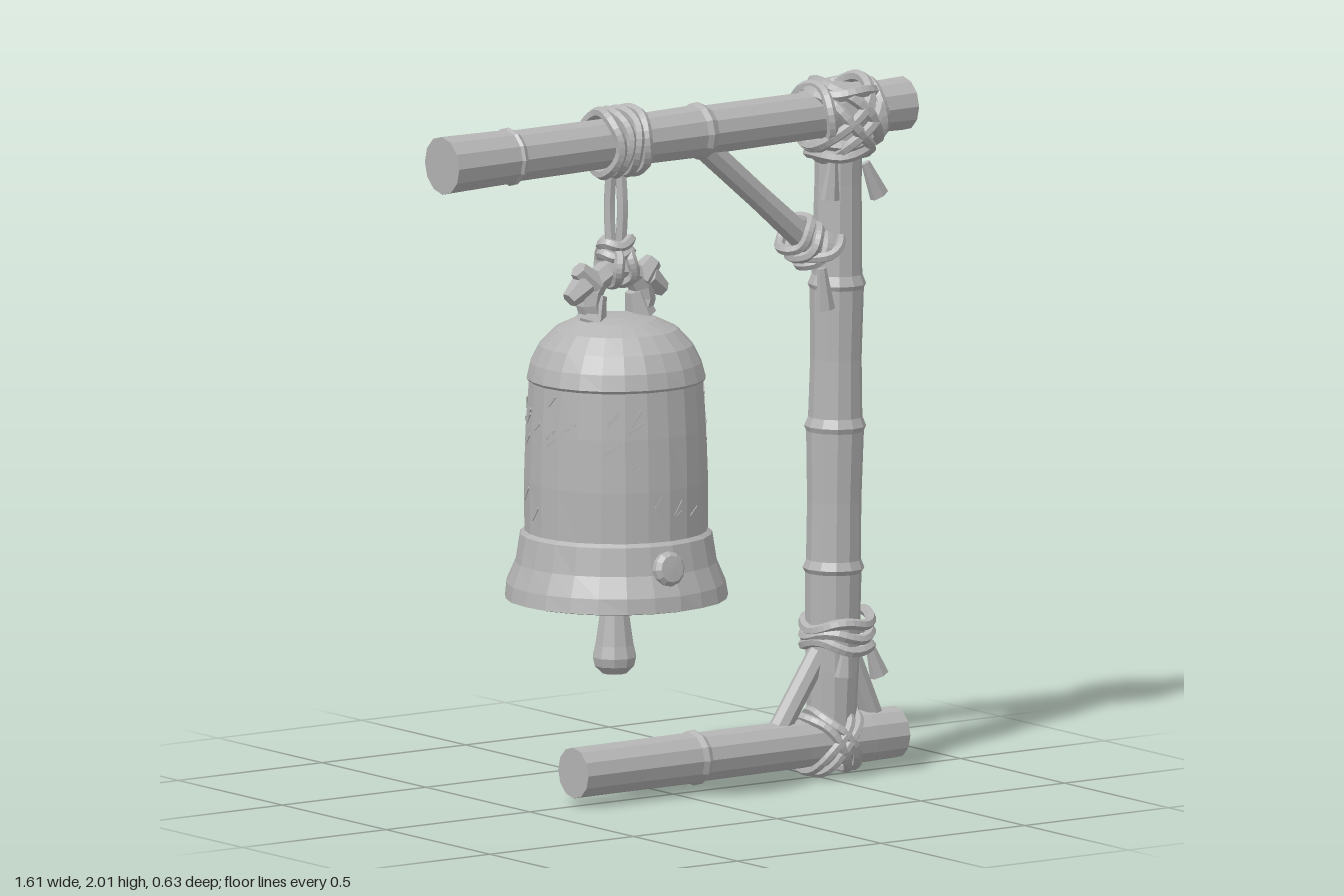
import * as THREE from 'three';
import { mergeGeometries } from 'three/addons/utils/BufferGeometryUtils.js';

const V = (x, y, z = 0) => new THREE.Vector3(x, y, z);
const UP = V(0, 1, 0);

export function createModel() {
  const model = new THREE.Group();
  const grey = new THREE.MeshStandardMaterial({ color: 0xb4b4b4, flatShading: true });
  grey.name = 'plain grey';

  const add = (name, geo) => {
    const mesh = new THREE.Mesh(geo, grey);
    mesh.name = name;
    model.add(mesh);
    return mesh;
  };
  const lathe = (pts, sides) =>
    new THREE.LatheGeometry(pts.map(([r, y]) => new THREE.Vector2(r, y)), sides);

  // Jointed pole from a to b; rings are [fraction of length, radius]
  const pole = (name, a, b, rings, sides = 12) => {
    const len = a.distanceTo(b);
    const pts = rings.map(([t, r]) => [r, t * len]);
    const mesh = add(name, lathe([[0, 0], ...pts, [0, len]], sides));
    mesh.position.copy(a);
    mesh.quaternion.setFromUnitVectors(UP, b.clone().sub(a).normalize());
    return mesh;
  };

  // Closed rope loop in the plane of half axes u and v, slightly wavy
  const loop = (c, u, v, r = 0.016, wave = 0.006) => {
    const n = u.clone().cross(v).normalize();
    const pts = [];
    for (let i = 0; i < 14; i++) {
      const a = (i / 14) * Math.PI * 2;
      pts.push(c.clone().addScaledVector(u, Math.cos(a)).addScaledVector(v, Math.sin(a))
        .addScaledVector(n, wave * Math.sin(a * 3 + c.x * 40 + c.y * 30)));
    }
    return new THREE.TubeGeometry(new THREE.CatmullRomCurve3(pts, true), 32, r, 6, true);
  };
  const strand = (pts, r) =>
    new THREE.TubeGeometry(new THREE.CatmullRomCurve3(pts), 12, r, 6, false);

  // Frayed rope end that widens downward
  const tail = (x, y, z, len, lean) => {
    const g = new THREE.CylinderGeometry(0.014, 0.03, len, 6);
    g.scale(1, 1, 0.7).rotateZ(lean).translate(x, y - len / 2, z);
    return g;
  };

  // Frame
  pole('topBeam', V(-0.805, 1.885), V(0.8, 1.902), [
    [0, 0.083], [0.14, 0.078], [0.145, 0.084], [0.155, 0.074], [0.35, 0.072],
    [0.545, 0.076], [0.555, 0.083], [0.57, 0.071], [0.8, 0.069], [1, 0.077]]);
  pole('post', V(0.553, 0.12, -0.004), V(0.58, 1.975, -0.004), [
    [0, 0.068], [0.1, 0.076], [0.25, 0.08], [0.257, 0.088], [0.27, 0.078], [0.36, 0.077],
    [0.468, 0.082], [0.476, 0.088], [0.49, 0.077], [0.58, 0.073], [0.688, 0.077],
    [0.695, 0.083], [0.71, 0.072], [0.85, 0.067], [1, 0.07]]);
  pole('footLog', V(-0.348, 0.1), V(0.772, 0.105), [
    [0, 0.073], [0.18, 0.073], [0.36, 0.074], [0.375, 0.08], [0.39, 0.071],
    [0.7, 0.07], [0.9, 0.076], [1, 0.074]]);
  pole('upperBrace', V(0.08, 1.87), V(0.51, 1.5), [[0, 0.038], [0.5, 0.036], [1, 0.04]], 8);
  pole('innerFootBrace', V(0.36, 0.14), V(0.535, 0.4), [[0, 0.032], [1, 0.032]], 8);
  pole('outerFootBrace', V(0.7, 0.14), V(0.59, 0.4), [[0, 0.032], [1, 0.032]], 8);

  // Lashing where the post meets the beam
  const top = [];
  for (const s of [-1, 1]) for (const k of [-0.018, 0.018]) {
    const c = V(0.58 + k, 1.885 - s * k);
    top.push(loop(c, V(0.085, s * 0.09), V(0, 0, 0.118), 0.017));
  }
  for (const y of [1.795, 1.825])
    top.push(loop(V(0.578, y), V(0.085, 0.012), V(0, 0, 0.095)));
  for (const x of [0.488, 0.665])
    top.push(loop(V(x, 1.895), V(0, 0.088, 0), V(0, 0, 0.095)));
  top.push(loop(V(0.578, 1.965), V(0.092, 0), V(0, 0, 0.1), 0.018));
  top.push(tail(0.515, 1.77, 0.05, 0.11, -0.1), tail(0.66, 1.76, 0.045, 0.11, 0.45));
  add('topLashing', mergeGeometries(top));

  // Lashing on the upper brace
  const brace = [-0.03, 0, 0.03].map((k) =>
    loop(V(0.455 + k, 1.54 - k * 0.85), V(0.036, 0.045), V(0, 0, 0.062), 0.015));
  brace.push(loop(V(0.5, 1.52), V(0.06, 0.03), V(0, 0, 0.085), 0.015));
  brace.push(tail(0.48, 1.47, 0.06, 0.12, 0.1));
  add('braceLashing', mergeGeometries(brace));

  // Lashing low on the post, and crossed ropes round the foot log
  const low = [0.375, 0.41, 0.445].map((y, i) =>
    loop(V(0.57, y), V(0.092, 0.012 * (i - 1)), V(0, 0, 0.098), 0.016, 0.01));
  low.push(tail(0.54, 0.37, 0.08, 0.075, -0.1), tail(0.665, 0.37, 0.05, 0.09, 0.35),
    tail(0.56, 0.37, -0.09, 0.07, 0.1));
  add('postLashing', mergeGeometries(low));
  const foot = [];
  for (const s of [-1, 1]) for (const k of [-0.016, 0.016])
    foot.push(loop(V(0.535 + k, 0.105 - s * k * 0.3), V(0.065, s * 0.082), V(0, 0, 0.092), 0.014));
  add('footLashing', mergeGeometries(foot));

  // Rope that carries the bell
  const hang = [-0.25, -0.217, -0.183, -0.15].map((x) =>
    loop(V(x, 1.893), V(0, 0.088, 0), V(0, 0, 0.09), 0.0165));
  for (const s of [-1, 1]) {
    hang.push(strand([V(-0.2 + s * 0.016, 1.82), V(-0.2 + s * 0.017, 1.7, s * 0.008),
      V(-0.2 + s * 0.015, 1.57)], 0.017));
    hang.push(loop(V(-0.2 + s * 0.023, 1.54), V(0, 0.052), V(0, 0, 0.055), 0.016));
  }
  for (const y of [1.575, 1.605])
    hang.push(loop(V(-0.2, y), V(0.043, 0.004), V(0, 0, 0.04), 0.016));
  add('bellRope', mergeGeometries(hang));

  // Arched crown with a curled, jagged crest on each side
  const crown = [strand([V(-0.265, 1.37), V(-0.295, 1.44), V(-0.265, 1.505), V(-0.2, 1.525),
    V(-0.135, 1.505), V(-0.105, 1.44), V(-0.135, 1.37)], 0.036)];
  for (const s of [-1, 1]) {
    const lump = (x, y, r, spin) => {
      const g = new THREE.CylinderGeometry(r * 0.6, r, r * 1.7, 6);
      crown.push(g.rotateZ(spin).translate(-0.2 + s * x, y, 0));
    };
    lump(0.075, 1.425, 0.045, s * 0.3);
    lump(0.105, 1.515, 0.043, -s * 0.8);
    lump(0.135, 1.475, 0.04, -s * 2.2);
  }
  add('bellCrown', mergeGeometries(crown));

  // Bell, closed just inside the rim, with a lightly hammered surface
  const bellGeo = lathe([[0, 0.6], [0.29, 0.6], [0.3, 0.588], [0.316, 0.592], [0.31, 0.635],
    [0.285, 0.695], [0.272, 0.775], [0.26, 0.785], [0.261, 0.93], [0.256, 1.08], [0.247, 1.212],
    [0.254, 1.22], [0.243, 1.265], [0.218, 1.315], [0.175, 1.36], [0.115, 1.388],
    [0.06, 1.398], [0, 1.4]], 24);
  const p = bellGeo.attributes.position;
  for (let i = 0; i < p.count; i++) {
    const a = Math.atan2(p.getZ(i), p.getX(i)), y = p.getY(i);
    const f = 1 + 0.008 * Math.sin(a * 7 + y * 23) * Math.sin(a * 4 - y * 17);
    p.setX(i, p.getX(i) * f);
    p.setZ(i, p.getZ(i) * f);
  }
  add('bell', bellGeo).position.x = -0.2;

  // Short slanting tool marks on the waist
  let seed = 7;
  const rnd = () => (seed = (seed * 16807) % 2147483647) / 2147483647;
  const marks = [];
  for (let i = 0; i < 60; i++) {
    const y = 0.83 + rnd() * 0.35;
    const g = new THREE.BoxGeometry(0.03 + rnd() * 0.03, 0.007, 0.008);
    g.rotateZ(0.5 + rnd() * 0.5).translate(0, y, 0.256 - Math.max(0, y - 0.95) * 0.04);
    marks.push(g.rotateY(((Math.floor(rnd() * 24) + 0.5) / 24) * Math.PI * 2));
  }
  add('toolMarks', mergeGeometries(marks)).position.x = -0.2;

  // Round striking bosses, front and back
  for (const s of [-1, 1]) {
    const boss = add(s > 0 ? 'frontBoss' : 'backBoss',
      lathe([[0, -0.03], [0.05, -0.03], [0.05, 0.012], [0.038, 0.024], [0, 0.026]], 12));
    boss.rotation.x = s * (Math.PI / 2 - 0.15);
    boss.position.set(-0.22, 0.71, s * 0.277);
  }

  // Clapper
  add('clapper', lathe([[0, 0.37], [0.035, 0.373], [0.058, 0.395], [0.064, 0.42],
    [0.056, 0.455], [0.036, 0.59], [0.034, 0.62], [0, 0.62]], 10)).position.x = -0.205;

  return model;
}
